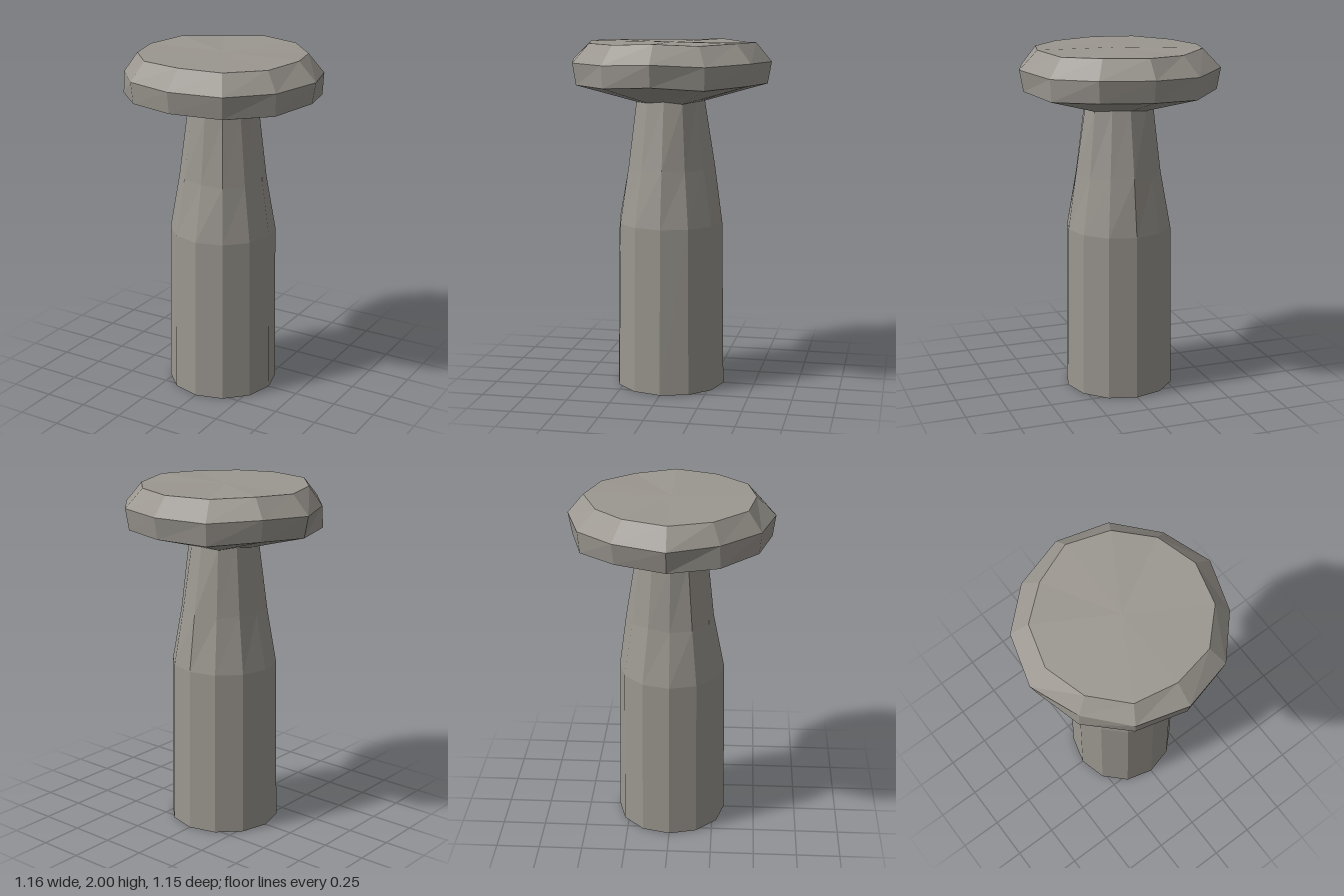
import * as THREE from 'three';

const SIDES = 12;

// One ring of points; r is a single radius or one radius per corner, starting at the front.
function ring(y, r, wobble = 0) {
  return Array.from({ length: SIDES }, (_, k) => {
    const a = (k / SIDES) * Math.PI * 2;
    const radius = Array.isArray(r) ? r[k] : r;
    return [Math.sin(a) * radius, y + wobble * Math.sin(k * 2.4 + 1), Math.cos(a) * radius];
  });
}

// Faceted skin through the rings from bottom to top, optionally closed on top.
function loft(rings, closeTop) {
  const pos = [];
  for (let i = 0; i < rings.length - 1; i++) {
    for (let k = 0; k < SIDES; k++) {
      const n = (k + 1) % SIDES;
      const a = rings[i][k], b = rings[i][n], c = rings[i + 1][n], d = rings[i + 1][k];
      pos.push(...a, ...b, ...c, ...a, ...c, ...d);
    }
  }
  if (closeTop) {
    const top = rings[rings.length - 1];
    const centre = [0, 1.995, 0];
    for (let k = 0; k < SIDES; k++) pos.push(...top[k], ...top[(k + 1) % SIDES], ...centre);
  }
  const g = new THREE.BufferGeometry();
  g.setAttribute('position', new THREE.Float32BufferAttribute(pos, 3));
  g.computeVertexNormals();
  return g;
}

export function createModel() {
  const group = new THREE.Group();
  const stone = new THREE.MeshStandardMaterial({ color: 0x9b9790, flatShading: true, side: THREE.DoubleSide });
  stone.name = 'warm grey stone';

  const neck = ring(1.662, [0.2, 0.205, 0.2, 0.2, 0.205, 0.195, 0.2, 0.205, 0.2, 0.2, 0.2, 0.2], 0.007);

  // Hollow stem, open at the foot and narrowing to the neck
  const stem = new THREE.Mesh(loft([
    ring(0, 0.318),
    ring(0.96, 0.305),
    ring(1.28, [0.24, 0.255, 0.25, 0.257, 0.25, 0.25, 0.262, 0.25, 0.245, 0.24, 0.25, 0.25], 0.008),
    neck,
  ], false), stone);
  stem.name = 'stem';

  // Broad bevelled cap with slightly uneven rims
  const cap = new THREE.Mesh(loft([
    neck,
    ring(1.764, 0.558, 0.01),
    ring(1.887, [0.575, 0.578, 0.565, 0.58, 0.565, 0.578, 0.58, 0.571, 0.579, 0.585, 0.552, 0.571], 0.008),
    ring(1.994, [0.465, 0.48, 0.48, 0.475, 0.475, 0.477, 0.49, 0.46, 0.477, 0.48, 0.476, 0.486], 0.006),
  ], true), stone);
  cap.name = 'cap';

  group.add(stem, cap);
  return group;
}
